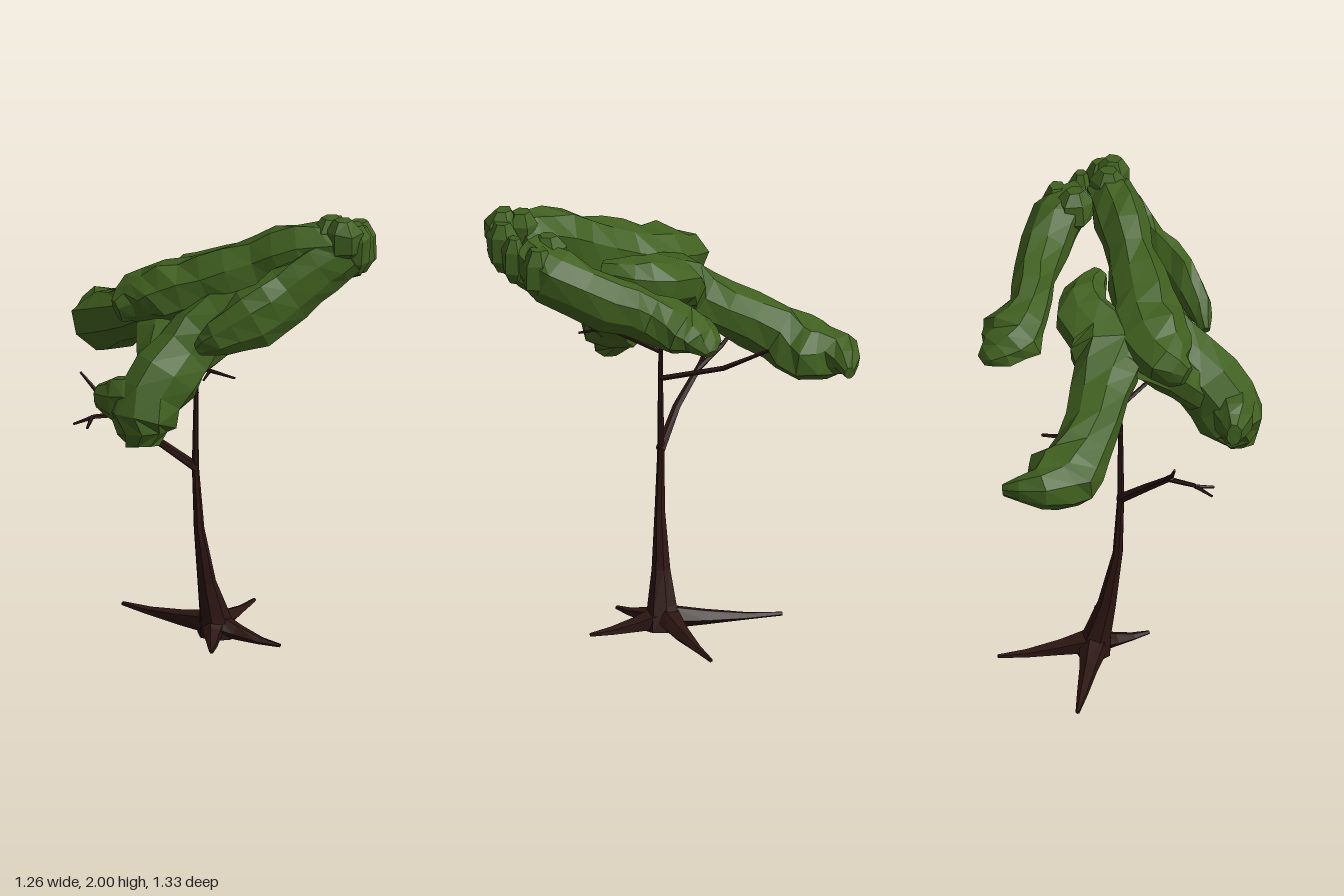
import * as THREE from 'three';

const V = (x, y, z) => new THREE.Vector3(x, y, z);
const leaf = new THREE.MeshStandardMaterial({ color: 0x40601f, flatShading: true });
const bark = new THREE.MeshStandardMaterial({ color: 0x2b1511, flatShading: true });

// Small repeatable noise in -1..1
let seed = 7;
const noise = () => {
  seed = (seed * 16807) % 2147483647;
  return (seed / 2147483647) * 2 - 1;
};

// Faceted limb through stations [x, y, z, halfWidth, halfHeight]
function limbGeometry(stations, sides, steps, rough, ref = V(0, 1, 0)) {
  const curve = new THREE.CatmullRomCurve3(stations.map((s) => V(s[0], s[1], s[2])));
  const rings = (stations.length - 1) * steps;
  const pos = [];
  const idx = [];
  for (let i = 0; i <= rings; i++) {
    const t = i / rings;
    const c = curve.getPoint(t);
    const tan = curve.getTangent(t);
    const side = V().crossVectors(ref, tan).normalize();
    const up = V().crossVectors(tan, side);
    const k = Math.min(Math.floor(i / steps), stations.length - 2);
    const f = i / steps - k;
    const size = (n) => THREE.MathUtils.lerp(stations[k][n], stations[k + 1][n], f);
    const w = size(3);
    const h = size(4);
    for (let j = 0; j < sides; j++) {
      const a = ((j + 0.5) / sides) * Math.PI * 2;
      const r = 1.06 + rough * noise();
      const p = c.clone()
        .addScaledVector(side, Math.cos(a) * w * r)
        .addScaledVector(up, Math.sin(a) * h * r)
        .addScaledVector(tan, noise() * rough * w * 0.6);
      pos.push(p.x, Math.max(p.y, 0), p.z);
    }
  }
  for (let i = 0; i < rings; i++) {
    for (let j = 0; j < sides; j++) {
      const a = i * sides + j;
      const b = i * sides + ((j + 1) % sides);
      idx.push(a, b, b + sides, a, b + sides, a + sides);
    }
  }
  // End caps
  const last = rings * sides;
  for (let j = 1; j < sides - 1; j++) {
    idx.push(0, j + 1, j, last, last + j, last + j + 1);
  }
  const g = new THREE.BufferGeometry();
  g.setAttribute('position', new THREE.Float32BufferAttribute(pos, 3));
  g.setIndex(idx);
  g.computeVertexNormals();
  return g;
}

export function createModel() {
  const tree = new THREE.Group();
  tree.name = 'tree';
  const add = (parent, name, geometry, material) => {
    const m = new THREE.Mesh(geometry, material);
    m.name = name;
    parent.add(m);
    return m;
  };

  // Trunk, leaning at the flared foot
  const wood = new THREE.Group();
  wood.name = 'wood';
  tree.add(wood);
  add(wood, 'trunk', limbGeometry([
    [-0.02, 0, 0.06, 0.08, 0.08], [-0.035, 0.1, 0.075, 0.058, 0.058], [-0.065, 0.25, 0.1, 0.038, 0.036],
    [-0.1, 0.5, 0.13, 0.021, 0.021], [-0.115, 0.78, 0.135, 0.014, 0.014],
    [-0.112, 1.1, 0.135, 0.01, 0.01], [-0.11, 1.42, 0.13, 0.007, 0.007],
  ], 7, 1, 0.06, V(0, 0, 1)), bark);

  // Roots spreading over the ground
  for (const [x, z] of [[0.16, -0.3], [-0.39, -0.29], [0.23, 0.26], [-0.06, 0.32]]) {
    const at = (f, y, w, h) => [-0.03 + (x + 0.03) * f, y, 0.065 + (z - 0.065) * f, w, h];
    add(wood, 'root', limbGeometry([
      at(0, 0.06, 0.06, 0.05), at(0.35, 0.035, 0.035, 0.033),
      at(0.7, 0.022, 0.022, 0.015), at(1, 0.018, 0.008, 0.008),
    ], 5, 1, 0.12), bark);
  }

  // Bare branches and twigs
  const branches = [
    [[-0.11, 0.77, 0.135, 0.02, 0.02], [-0.27, 0.9, 0.16, 0.016, 0.016], [-0.45, 1.04, 0.15, 0.012, 0.012]],
    [[-0.42, 1.02, 0.15, 0.011, 0.011], [-0.52, 1.1, 0.1, 0.009, 0.009], [-0.59, 1.18, 0.065, 0.005, 0.005]],
    [[-0.42, 1.02, 0.15, 0.011, 0.011], [-0.54, 1.03, 0.2, 0.009, 0.009], [-0.63, 1.01, 0.23, 0.005, 0.005]],
    [[-0.55, 1.03, 0.2, 0.009, 0.009], [-0.575, 1.01, 0.28, 0.005, 0.005]],
    [[-0.112, 1.1, 0.13, 0.012, 0.012], [-0.16, 1.2, -0.15, 0.011, 0.011], [-0.21, 1.31, -0.34, 0.007, 0.007]],
    [[-0.11, 1.22, 0.13, 0.009, 0.009], [-0.065, 1.285, 0.37, 0.008, 0.008], [0.03, 1.28, 0.45, 0.005, 0.005]],
    [[-0.07, 1.28, 0.36, 0.007, 0.007], [-0.1, 1.27, 0.44, 0.004, 0.004]],
  ];
  for (const b of branches) add(wood, 'branch', limbGeometry(b, 5, 1, 0.08), bark);

  // Canopy: slanting lobes that branch out from the high front corner
  const canopy = new THREE.Group();
  canopy.name = 'canopy';
  tree.add(canopy);
  const lobes = {
    backArm: [
      [-0.355, 1.23, -0.65, 0.02, 0.025], [-0.46, 1.25, -0.54, 0.085, 0.085], [-0.435, 1.24, -0.4, 0.17, 0.13],
      [-0.395, 1.31, -0.26, 0.105, 0.115], [-0.25, 1.43, -0.08, 0.115, 0.1], [-0.14, 1.55, 0.05, 0.17, 0.11],
      [0.03, 1.62, 0.06, 0.12, 0.1], [0.13, 1.65, 0.13, 0.085, 0.09], [0.185, 1.68, 0.24, 0.04, 0.05],
    ],
    mainRidge: [
      [-0.45, 1.51, 0.23, 0.03, 0.05], [-0.37, 1.54, 0.2, 0.11, 0.1], [-0.23, 1.59, 0.22, 0.155, 0.13],
      [-0.05, 1.65, 0.295, 0.13, 0.13], [0.15, 1.74, 0.38, 0.1, 0.14], [0.33, 1.82, 0.445, 0.1, 0.14],
      [0.47, 1.86, 0.49, 0.09, 0.1],
    ],
    rightArm: [
      [0.5, 1.85, 0.4, 0.08, 0.08], [0.51, 1.78, 0.26, 0.1, 0.12], [0.385, 1.65, 0.06, 0.085, 0.11],
      [0.27, 1.585, -0.06, 0.085, 0.1], [0.21, 1.53, -0.19, 0.135, 0.09], [0.2, 1.5, -0.28, 0.1, 0.06],
      [0.22, 1.46, -0.34, 0.03, 0.02],
    ],
    lowFrontArm: [
      [-0.36, 1.03, 0.56, 0.07, 0.06], [-0.36, 1.14, 0.535, 0.125, 0.14], [-0.26, 1.31, 0.47, 0.13, 0.14],
      [-0.1, 1.46, 0.385, 0.11, 0.13], [0.1, 1.61, 0.39, 0.1, 0.12], [0.25, 1.72, 0.43, 0.07, 0.1],
    ],
    lowFrontKnob: [
      [-0.54, 1.2, 0.41, 0.03, 0.05], [-0.46, 1.2, 0.47, 0.08, 0.1], [-0.34, 1.23, 0.53, 0.1, 0.1],
    ],
    innerBridge: [
      [-0.28, 1.27, 0.42, 0.09, 0.08], [-0.22, 1.42, 0.29, 0.15, 0.09], [-0.16, 1.53, 0.14, 0.16, 0.09],
      [-0.12, 1.57, 0.04, 0.1, 0.06],
    ],
    frontStrip: [
      [-0.13, 1.45, 0.56, 0.02, 0.03], [-0.05, 1.51, 0.585, 0.05, 0.08], [0.1, 1.59, 0.585, 0.065, 0.13],
      [0.25, 1.68, 0.545, 0.06, 0.12], [0.39, 1.78, 0.53, 0.06, 0.11], [0.5, 1.85, 0.52, 0.06, 0.08],
    ],
  };
  for (const [name, stations] of Object.entries(lobes)) {
    add(canopy, name, limbGeometry(stations, 8, 2, 0.11), leaf);
  }

  // Knobbly clumps at the high corner: x, y, z, half width, half height
  const clumps = [
    [0.46, 1.84, 0.32, 0.07, 0.09], [0.56, 1.8, 0.3, 0.065, 0.11], [0.56, 1.83, 0.42, 0.05, 0.1],
    [0.43, 1.9, 0.47, 0.07, 0.09], [0.48, 1.91, 0.53, 0.07, 0.09], [0.53, 1.86, 0.5, 0.06, 0.11],
  ];
  for (const [x, y, z, w, h] of clumps) {
    add(canopy, 'clump', limbGeometry([
      [x, y - h, z, w * 0.4, w * 0.4], [x, y - h * 0.5, z, w, w],
      [x, y + h * 0.45, z, w, w], [x, y + h, z, w * 0.5, w * 0.5],
    ], 6, 1, 0.15, V(0.4, 0, 1)), leaf);
  }
  return tree;
}
